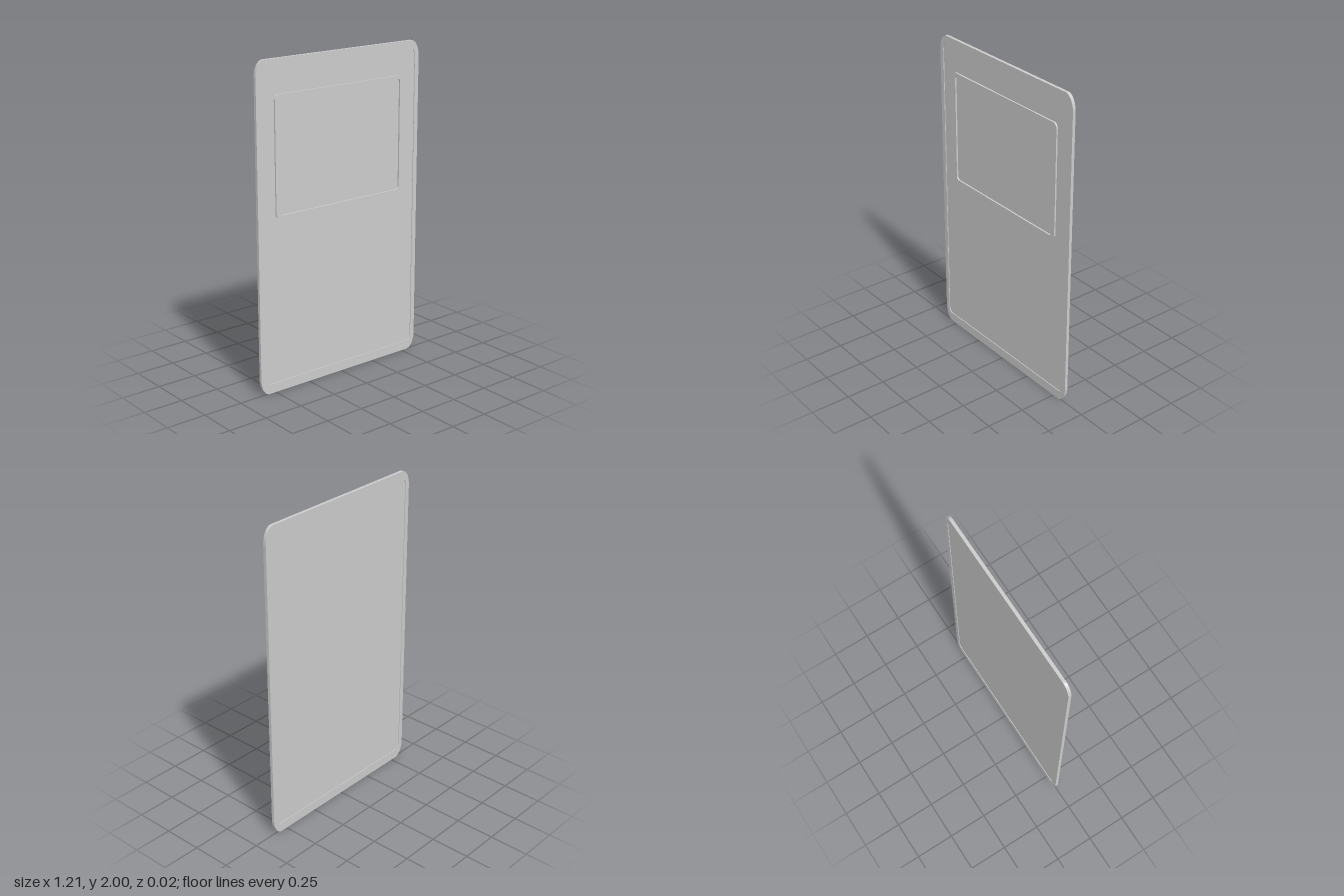
import * as THREE from 'three';

// Rectangle outline with elliptical corners (rx, ry)
function outline(target, halfW, y0, y1, rx, ry) {
  const q = Math.PI / 2;
  target.moveTo(halfW, y0 + ry);
  target.absellipse(halfW - rx, y1 - ry, rx, ry, 0, q, false, 0);
  target.absellipse(-halfW + rx, y1 - ry, rx, ry, q, 2 * q, false, 0);
  target.absellipse(-halfW + rx, y0 + ry, rx, ry, 2 * q, 3 * q, false, 0);
  target.absellipse(halfW - rx, y0 + ry, rx, ry, 3 * q, 4 * q, false, 0);
  target.closePath();
  return target;
}

// Flat plate between two z levels, optionally with an opening
function plate(name, z0, z1, outer, inner) {
  const shape = outline(new THREE.Shape(), ...outer);
  if (inner) shape.holes.push(outline(new THREE.Path(), ...inner));
  const geometry = new THREE.ExtrudeGeometry(shape, { depth: z1 - z0, bevelEnabled: false, curveSegments: 10 });
  geometry.translate(0, 0, z0);
  const mesh = new THREE.Mesh(geometry, new THREE.MeshStandardMaterial({ color: 0xcccccc }));
  mesh.name = name;
  return mesh;
}

export function createModel() {
  const group = new THREE.Group();
  group.name = 'card';
  const opening = [0.575, 0.06, 1.944, 0.024, 0.036];

  // Raised border around the card
  group.add(plate('border', -0.012, 0.007, [0.605, 0, 2, 0.062, 0.1], opening));

  // Panel set slightly below the border on both sides
  group.add(plate('panel', -0.008, 0.002, opening));

  // Thin raised frame around the picture window
  group.add(plate('windowFrame', 0.002, 0.012,
    [0.48, 1.073, 1.797, 0.03, 0.034],
    [0.453, 1.09, 1.778, 0.018, 0.02]));

  return group;
}
